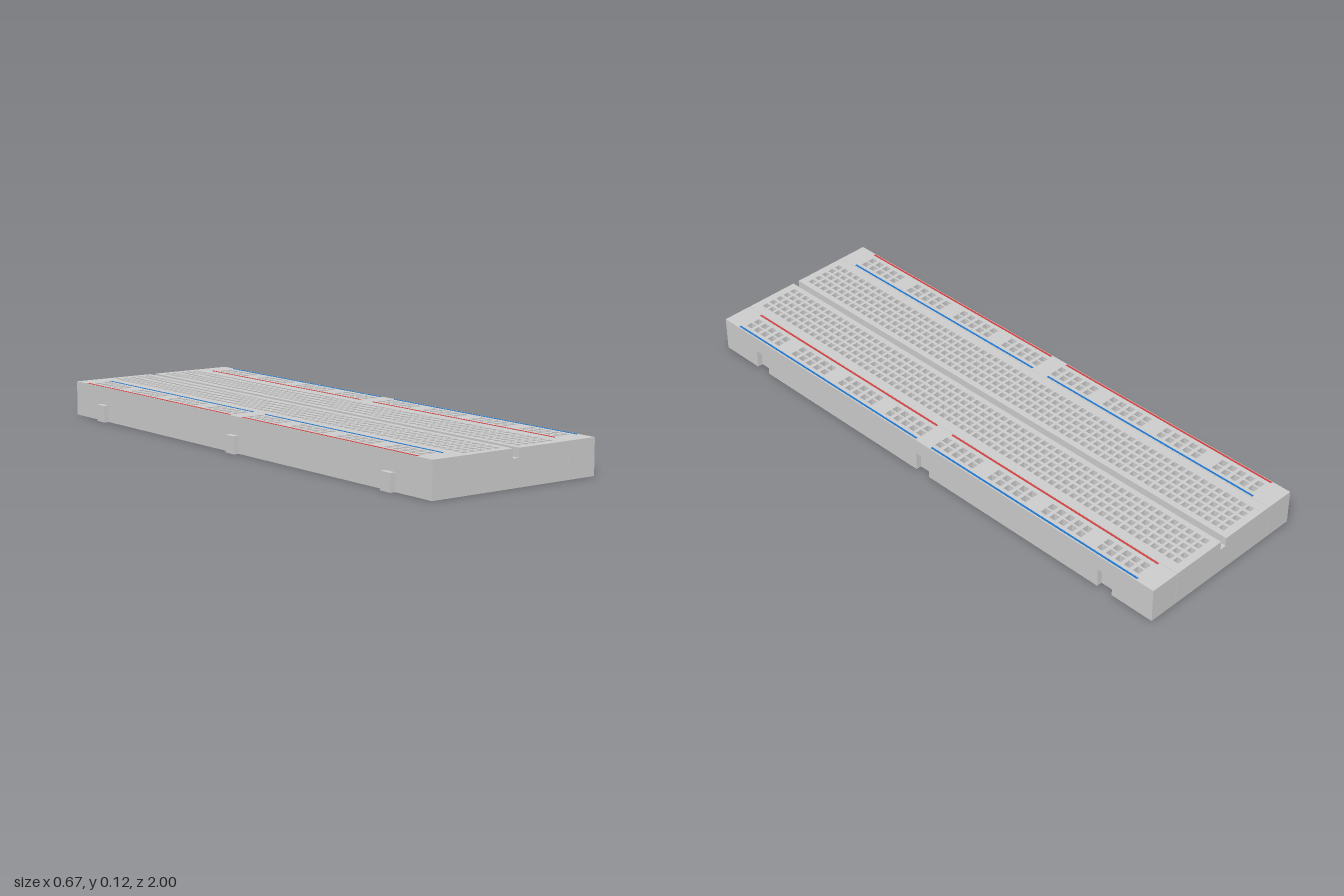
import * as THREE from 'three';

const H = 0.122, FLOOR = 0.091, NOTCH_H = 0.067, PITCH = 0.031;
const CLIPS = [-0.807, 0, 0.807];

const grey = new THREE.MeshStandardMaterial({ color: 0xcccccc });
const red = new THREE.MeshStandardMaterial({ color: 0xd04040 });
const blue = new THREE.MeshStandardMaterial({ color: 0x2277cc });

function add(group, name, geometry, material = grey) {
  const mesh = new THREE.Mesh(geometry, material);
  mesh.name = name;
  group.add(mesh);
}

// Box given by its limits on each axis
function block(x0, x1, y0, y1, z0, z1) {
  return new THREE.BoxGeometry(x1 - x0, y1 - y0, z1 - z0)
    .translate((x0 + x1) / 2, (y0 + y1) / 2, (z0 + z1) / 2);
}

// Plan outline (x, z) extruded upward from y0 to y1
function slab(shape, y0, y1) {
  return new THREE.ExtrudeGeometry(shape, { depth: y1 - y0, bevelEnabled: false })
    .rotateX(-Math.PI / 2).translate(0, y0, 0);
}

function outline(points, Type = THREE.Shape) {
  return new Type(points.map(([x, z]) => new THREE.Vector2(x, -z)));
}

// Top plate pierced by square sockets at every (x, z) of xs and zs
function piercedPlate(x0, x1, xs, zs, size) {
  const shape = outline([[x0, 1], [x1, 1], [x1, -1], [x0, -1]]);
  const r = size / 2;
  for (const x of xs) for (const z of zs) {
    shape.holes.push(outline([[x - r, z - r], [x + r, z - r], [x + r, z + r], [x - r, z + r]], THREE.Path));
  }
  return slab(shape, FLOOR, H);
}

// Power rail: base, pierced top and two coloured stripes
function makeRail(name, x0, x1, notched) {
  const rail = new THREE.Group();
  rail.name = name;
  if (notched) {
    const points = [[x0, -1], [x1, -1]];
    for (const z of CLIPS) {
      points.push([x1, z - 0.03], [x1 - 0.02, z - 0.03], [x1 - 0.02, z + 0.03], [x1, z + 0.03]);
    }
    points.push([x1, 1], [x0, 1]);
    add(rail, 'notchedBase', slab(outline(points.reverse()), 0, NOTCH_H));
    add(rail, 'railCore', block(x0, x1, NOTCH_H, FLOOR, -1, 1));
  } else {
    add(rail, 'railBase', block(x0, x1, 0, FLOOR, -1, 1));
  }

  // Eight groups of five socket pairs
  const mid = (x0 + x1) / 2, zs = [];
  for (let g = 0; g < 8; g++) {
    for (let i = -2; i <= 2; i++) zs.push((g - 3.5) * 0.2376 + i * 0.037);
  }
  add(rail, 'railTop', piercedPlate(x0, x1, [mid - PITCH / 2, mid + PITCH / 2], zs, 0.024));

  // Stripes are broken at the middle of the board
  for (const [z0, z1] of [[-0.93, -0.035], [0.035, 0.93]]) {
    add(rail, 'redStripe', block(x0 + 0.003, x0 + 0.010, H - 0.001, H + 0.001, z0, z1), red);
    add(rail, 'blueStripe', block(x1 - 0.012, x1 - 0.005, H - 0.001, H + 0.001, z0, z1), blue);
  }
  return rail;
}

export function createModel() {
  const board = new THREE.Group();
  board.name = 'solderlessBoard';

  board.add(makeRail('rightRail', -0.317, -0.2095, false));
  board.add(makeRail('leftRail', 0.2265, 0.335, true));

  // Middle section: solid base and two socket fields either side of a groove
  const middle = new THREE.Group();
  middle.name = 'terminalSection';
  add(middle, 'terminalBase', block(-0.2085, 0.2255, 0, FLOOR, -1, 1));
  const rows = Array.from({ length: 63 }, (_, i) => (i - 31) * PITCH);
  const columns = (start) => [0, 1, 2, 3, 4].map((i) => start + i * 0.0318);
  add(middle, 'rightSocketField', piercedPlate(-0.2085, -0.003, columns(-0.163), rows, 0.021));
  add(middle, 'leftSocketField', piercedPlate(0.021, 0.2255, columns(0.052), rows, 0.021));
  board.add(middle);

  // Joining tabs that match the notches on the other side
  for (const z of CLIPS) {
    add(board, 'joiningTab', block(-0.336, -0.316, 0, 0.06, z - 0.024, z + 0.024));
  }
  return board;
}
